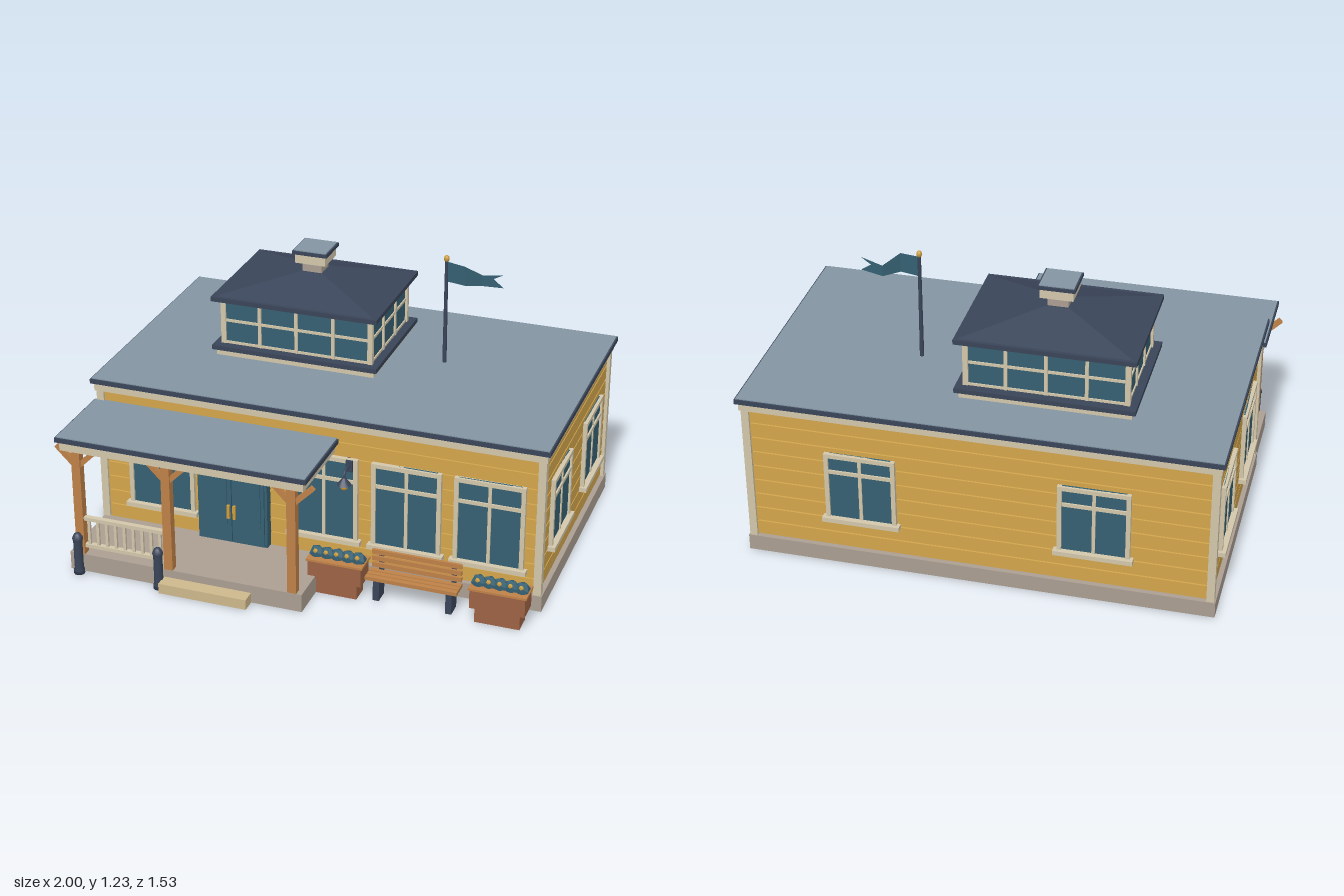
import * as THREE from 'three';

const paint = (name, color) => {
  const m = new THREE.MeshStandardMaterial({ color });
  m.name = name;
  return m;
};

export function createModel() {
  const wall = paint('ochre siding', 0xd2a54c);
  const trim = paint('cream trim', 0xd2c7ab);
  const navy = paint('dark slate', 0x3a4559);
  const roofing = paint('grey blue roofing', 0x8395a2);
  const teal = paint('deep teal', 0x356072);
  const stone = paint('stone', 0xab9e92);
  const wood = paint('warm wood', 0xbd8147);
  const clay = paint('clay', 0x9c6244);
  const tan = paint('pale step', 0xcdb88c);
  const gold = paint('gold', 0xcb9c3e);
  teal.side = THREE.DoubleSide;

  const model = new THREE.Group();
  model.name = 'stationHouse';
  const group = (name, parent = model) => {
    const g = new THREE.Group();
    g.name = name;
    parent.add(g);
    return g;
  };
  const mesh = (parent, name, geo, mat, x = 0, y = 0, z = 0) => {
    const m = new THREE.Mesh(geo, mat);
    m.name = name;
    m.position.set(x, y, z);
    parent.add(m);
    return m;
  };
  // box given by its extents on each axis
  const block = (parent, name, mat, [x0, x1], [y0, y1], [z0, z1]) =>
    mesh(parent, name, new THREE.BoxGeometry(x1 - x0, y1 - y0, z1 - z0), mat,
      (x0 + x1) / 2, (y0 + y1) / 2, (z0 + z1) / 2);
  const around = (c, h) => [c - h, c + h];

  // main hall: plinth, siding boards, corner boards, cornice and flat roof
  const hall = group('mainHall');
  const ZC = -0.18;
  block(hall, 'plinth', stone, around(0, 0.975), [0, 0.07], around(ZC, 0.56));
  block(hall, 'wallCore', wall, around(0, 0.948), [0.07, 0.69], around(ZC, 0.538));
  const boards = 9, step = 0.61 / boards;
  for (let i = 0; i < boards; i++) {
    const y = 0.07 + i * step;
    block(hall, 'sidingBoard', wall, around(0, 0.956), [y + 0.007, y + step], around(ZC, 0.546));
  }
  for (const sx of [-1, 1]) for (const sz of [-1, 1])
    block(hall, 'cornerBoard', trim, around(sx * 0.954, 0.016), [0.07, 0.68], around(ZC + sz * 0.541, 0.016));
  block(hall, 'cornice', trim, around(0, 0.975), [0.68, 0.717], around(ZC, 0.566));
  block(hall, 'roofEdge', navy, around(0, 0.988), [0.715, 0.735], around(ZC, 0.578));
  block(hall, 'roofDeck', roofing, around(0, 0.982), [0.733, 0.739], around(ZC, 0.572));

  // window facing +z in its own frame, turned onto a wall
  const addWindow = (x, z, turn, y0, y1, bar) => {
    const w = group('window');
    w.position.set(x, 0, z);
    w.rotation.y = turn;
    const h = 0.148, t = 0.018;
    block(w, 'glass', teal, around(0, h - t), [y0, y1], [0, 0.008]);
    for (const s of [-1, 1]) block(w, 'jamb', trim, around(s * (h - t / 2), t / 2), [y0, y1], [-0.005, 0.017]);
    block(w, 'head', trim, around(0, h), [y1 - t, y1], [-0.005, 0.018]);
    block(w, 'transomBar', trim, around(0, h - t), around(bar, 0.008), [0, 0.015]);
    block(w, 'mullion', trim, around(0, 0.007), [y0, y1 - t], [0, 0.013]);
    block(w, 'sill', trim, around(0, 0.162), [y0 - 0.006, y0 + 0.014], [-0.005, 0.032]);
  };
  for (const x of [-0.685, 0.04, 0.395, 0.745]) addWindow(x, 0.366, 0, 0.165, 0.55, 0.447);
  for (const s of [-1, 1]) for (const z of [0.08, -0.45])
    addWindow(s * 0.956, z, s * Math.PI / 2, 0.21, 0.525, 0.44);
  for (const x of [-0.478, 0.482]) addWindow(x, -0.726, Math.PI, 0.21, 0.525, 0.44);

  // double door
  const door = group('doubleDoor');
  block(door, 'doorFrame', teal, [-0.51, -0.2], [0.08, 0.532], [0.36, 0.405]);
  block(door, 'doorHeader', trim, [-0.51, -0.2], [0.532, 0.547], [0.36, 0.39]);
  for (const s of [-1, 1]) {
    block(door, 'doorLeaf', teal, around(-0.355 + s * 0.073, 0.071), [0.085, 0.52], [0.4, 0.414]);
    block(door, 'doorPanel', teal, around(-0.355 + s * 0.075, 0.054), [0.17, 0.48], [0.41, 0.419]);
    block(door, 'doorHandle', gold, around(-0.355 + s * 0.013, 0.006), [0.2, 0.262], [0.41, 0.426]);
  }

  // porch: deck, step, roof, braced posts and railing
  const porch = group('porch');
  block(porch, 'porchDeck', stone, [-0.965, 0.065], [0, 0.08], [0.37, 0.707]);
  block(porch, 'step', tan, [-0.54, -0.155], [0, 0.045], [0.7, 0.768]);
  block(porch, 'porchFascia', trim, [-0.97, 0.087], [0.57, 0.612], [0.37, 0.735]);
  block(porch, 'porchRoofEdge', navy, [-0.985, 0.102], [0.61, 0.63], [0.37, 0.748]);
  block(porch, 'porchRoofDeck', roofing, [-0.979, 0.096], [0.628, 0.634], [0.37, 0.742]);
  for (const x of [-0.917, -0.52, 0.022]) {
    block(porch, 'post', wood, around(x, 0.019), [0.08, 0.572], around(0.688, 0.018));
    for (const s of [-1, 1]) {
      const brace = mesh(porch, 'brace', new THREE.BoxGeometry(0.022, 0.125, 0.02), wood, x + s * 0.044, 0.525, 0.688);
      brace.rotation.z = -s * Math.PI / 4;
    }
  }
  for (const y of [0.118, 0.245]) block(porch, 'rail', trim, [-0.9, -0.538], around(y, 0.008), around(0.688, 0.011));
  for (let i = 0; i < 9; i++)
    block(porch, 'baluster', trim, around(-0.88 + i * 0.04, 0.006), [0.118, 0.245], around(0.688, 0.006));

  // bollards
  const bollardProfile = [[0, 0], [0.023, 0], [0.023, 0.02], [0.019, 0.025], [0.019, 0.155], [0.022, 0.16],
    [0.022, 0.17], [0.014, 0.186], [0, 0.192]].map(p => new THREE.Vector2(...p));
  for (const x of [-0.917, -0.555])
    mesh(model, 'bollard', new THREE.LatheGeometry(bollardProfile, 12), navy, x, 0, 0.728);

  // cupola with glazed sides and hipped roof
  const cupola = group('cupola');
  cupola.position.set(-0.228, 0, -0.265);
  const slab = (name, mat, hx, hz, y0, y1) => block(cupola, name, mat, around(0, hx), [y0, y1], around(0, hz));
  slab('curb', trim, 0.352, 0.265, 0.735, 0.768);
  slab('curbCap', navy, 0.368, 0.28, 0.766, 0.786);
  slab('glazing', teal, 0.328, 0.236, 0.786, 0.99);
  for (const [y, h] of [[0.79, 0.007], [0.892, 0.006], [0.984, 0.007]])
    slab('glazingBar', trim, 0.333, 0.241, y - h, y + h);
  for (let i = 0; i <= 4; i++) for (const s of [-1, 1])
    block(cupola, 'upright', trim, around(-0.328 + i * 0.164, i % 4 ? 0.007 : 0.011), [0.786, 0.99], around(s * 0.234, 0.01));
  for (let i = 1; i < 3; i++) for (const s of [-1, 1])
    block(cupola, 'upright', trim, around(s * 0.326, 0.01), [0.786, 0.99], around(-0.236 + i * 0.157, 0.007));
  slab('eave', navy, 0.368, 0.28, 0.988, 1.008);
  const hip = new THREE.BoxGeometry(2, 0.072, 2);
  const hp = hip.attributes.position;
  for (let i = 0; i < hp.count; i++) {
    const top = hp.getY(i) > 0;
    hp.setX(i, hp.getX(i) * (top ? 0.05 : 0.355));
    hp.setZ(i, hp.getZ(i) * (top ? 0.05 : 0.268));
  }
  hip.computeVertexNormals();
  mesh(cupola, 'hippedRoof', hip, navy, 0, 1.043, 0);
  slab('ventNeck', stone, 0.043, 0.043, 1.06, 1.128);
  slab('ventHead', trim, 0.068, 0.068, 1.122, 1.165);
  slab('ventCap', navy, 0.077, 0.077, 1.163, 1.178);
  slab('ventTop', roofing, 0.071, 0.071, 1.176, 1.182);

  // flagpole with a rippling swallowtail flag
  const pole = group('flagpole');
  pole.position.set(0.355, 0, -0.252);
  mesh(pole, 'pole', new THREE.CylinderGeometry(0.007, 0.009, 0.47, 10), navy, 0, 0.97, 0);
  const finial = mesh(pole, 'finial', new THREE.SphereGeometry(0.012, 10, 8), gold, 0, 1.21, 0);
  finial.scale.y = 1.25;
  const flag = new THREE.BufferGeometry();
  flag.setAttribute('position', new THREE.Float32BufferAttribute([
    0, 1.197, 0, 0, 1.108, 0, 0.085, 1.193, 0.02, 0.085, 1.108, 0.02,
    0.15, 1.148, -0.02, 0.15, 1.1, -0.02, 0.245, 1.168, -0.004, 0.245, 1.11, -0.004, 0.2, 1.142, -0.012], 3));
  flag.setIndex([0, 1, 3, 0, 3, 2, 2, 3, 5, 2, 5, 4, 4, 5, 8, 4, 8, 6, 5, 7, 8]);
  const flatFlag = flag.toNonIndexed();
  flatFlag.computeVertexNormals();
  mesh(pole, 'flag', flatFlag, teal);

  // planters with shrubs and blossoms
  for (const x of [0.147, 0.835]) {
    const p = group('planter');
    p.position.set(x, 0, 0.5);
    block(p, 'planterBase', clay, around(0, 0.094), [0, 0.07], around(0, 0.042));
    block(p, 'planterBox', clay, around(0, 0.115), [0.066, 0.15], around(0, 0.05));
    block(p, 'planterRim', wood, around(0, 0.121), [0.148, 0.157], around(0, 0.054));
    for (let i = -2; i <= 2; i++) {
      mesh(p, 'shrub', new THREE.IcosahedronGeometry(0.034, 0), teal, i * 0.045, 0.165, 0);
      mesh(p, 'blossom', new THREE.IcosahedronGeometry(0.011, 0), gold, i * 0.045, 0.183, 0.022);
    }
  }

  // slatted bench
  const bench = group('bench');
  for (const z of [0.472, 0.5, 0.528]) block(bench, 'seatSlat', wood, [0.275, 0.665], [0.1, 0.116], around(z, 0.011));
  for (const y of [0.14, 0.17, 0.2]) block(bench, 'backSlat', wood, [0.285, 0.665], around(y, 0.01), around(0.47, 0.006));
  for (const x of [0.322, 0.63]) {
    block(bench, 'leg', navy, around(x, 0.013), [0.008, 0.1], [0.465, 0.535]);
    block(bench, 'backSupport', navy, around(x, 0.01), [0.1, 0.205], [0.457, 0.465]);
  }

  // wall lantern on a curved arm
  const lamp = group('wallLantern');
  lamp.position.x = 0.155;
  block(lamp, 'lampPlate', navy, around(0, 0.014), [0.5, 0.55], [0.36, 0.394]);
  const arm = new THREE.CatmullRomCurve3([[0.38, 0.525], [0.42, 0.53], [0.445, 0.52], [0.45, 0.495]]
    .map(([z, y]) => new THREE.Vector3(0, y, z)));
  mesh(lamp, 'lampArm', new THREE.TubeGeometry(arm, 12, 0.006, 8), navy);
  mesh(lamp, 'lampShade', new THREE.CylinderGeometry(0.007, 0.03, 0.032, 12), navy, 0, 0.487, 0.45);
  mesh(lamp, 'lampBulb', new THREE.SphereGeometry(0.018, 12, 8), gold, 0, 0.465, 0.45);

  return model;
}
